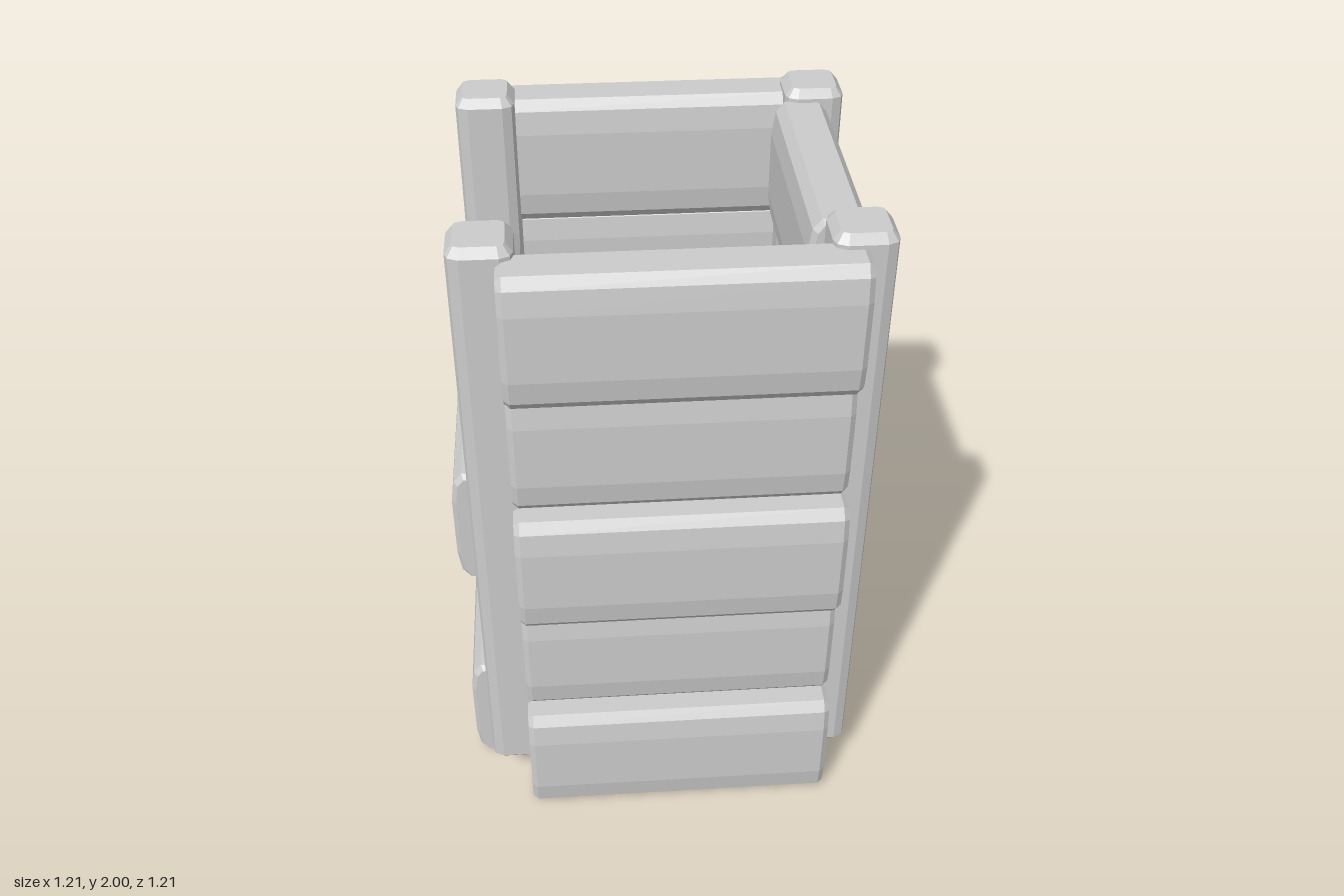
import * as THREE from 'three';

const ROWS = 5, PITCH = 0.392, HEIGHT = 0.396;

// Bar of mirrored outline (quarter profile given), extruded along z with chamfered ends
function chamferedBar(quarter, length, bevel) {
  const back = [...quarter].reverse();
  const points = [
    ...quarter,
    ...back.map(([x, y]) => [-x, y]),
    ...quarter.map(([x, y]) => [-x, -y]),
    ...back.map(([x, y]) => [x, -y]),
  ].map(([x, y]) => new THREE.Vector2(x, y));
  const geometry = new THREE.ExtrudeGeometry(new THREE.Shape(points), {
    depth: length - 2 * bevel,
    bevelEnabled: true,
    bevelThickness: bevel,
    bevelSize: bevel * 0.8,
    bevelOffset: -bevel * 0.8,
    bevelSegments: 1,
  });
  return geometry.translate(0, 0, bevel - length / 2);
}

export function createModel() {
  const model = new THREE.Group();
  model.name = 'plankCrate';
  const material = new THREE.MeshStandardMaterial({ color: 0xcccccc, flatShading: true });

  const add = (parent, name, geometry, x, y, z) => {
    const mesh = new THREE.Mesh(geometry, material);
    mesh.name = name;
    mesh.position.set(x, y, z);
    parent.add(mesh);
  };

  // Plank section: thin, with softened long edges
  const h = HEIGHT / 2;
  const plankProfile = [[0.084, h - 0.1], [0.074, h - 0.03], [0.05, h]];
  const sidePlank = chamferedBar(plankProfile, 0.72, 0.016);
  const longPlank = chamferedBar(plankProfile, 0.93, 0.016).rotateY(Math.PI / 2);

  // Four walls of stacked planks, alternating between an outer and an inner layer
  const OUTER = 0.523, INNER = 0.459;
  const walls = [
    { name: 'front', axis: 'z', sign: 1, outerRow: 0, rows: ROWS },
    { name: 'back', axis: 'z', sign: -1, outerRow: 1, rows: ROWS },
    { name: 'left', axis: 'x', sign: 1, outerRow: 1, rows: ROWS },
    { name: 'right', axis: 'x', sign: -1, outerRow: 0, rows: ROWS - 1 }, // open at the top
  ];
  for (const { name, axis, sign, outerRow, rows } of walls) {
    const wall = new THREE.Group();
    wall.name = name + 'Wall';
    for (let row = 0; row < rows; row++) {
      const offset = sign * (row % 2 === outerRow ? OUTER : INNER);
      const y = h + row * PITCH;
      if (axis === 'z') add(wall, name + 'Plank', longPlank, 0.04, y, offset);
      else add(wall, name + 'Plank', sidePlank, offset, y, 0.005);
    }
    model.add(wall);
  }

  // Corner posts, raised slightly off the ground
  const postProfile = [[0.085, 0.05], [0.077, 0.072], [0.05, 0.084]];
  const post = chamferedBar(postProfile, 1.88, 0.025).rotateX(Math.PI / 2);
  for (const x of [-0.463, 0.498])
    for (const z of [-0.411, 0.425]) add(model, 'cornerPost', post, x, 1.06, z);

  return model;
}
